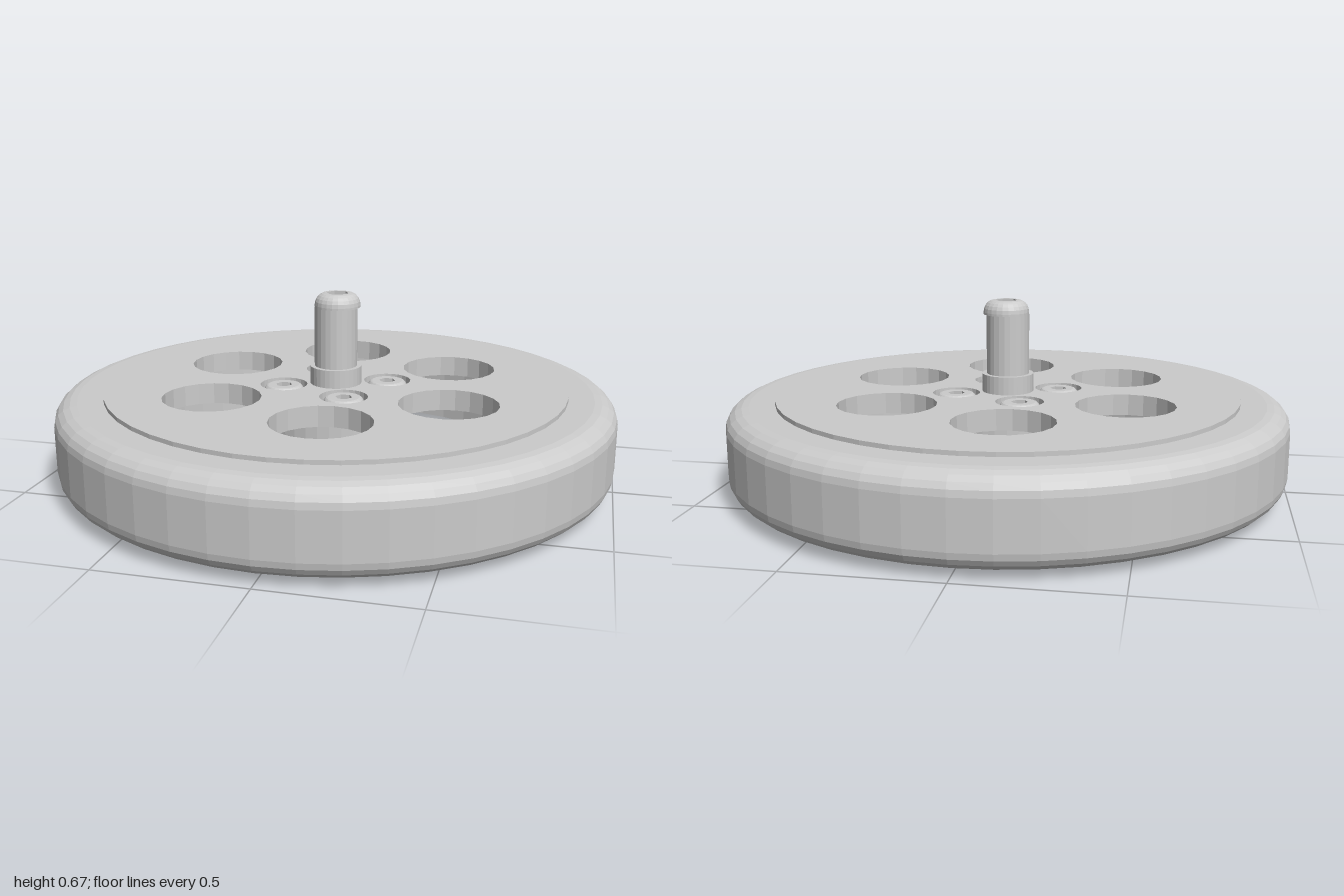
import * as THREE from 'three';

const material = new THREE.MeshStandardMaterial({ color: 0xcccccc, flatShading: true });
const TILT = THREE.MathUtils.degToRad(22); // shared rotation of all hole patterns

function add(parent, name, geometry) {
  const mesh = new THREE.Mesh(geometry, material);
  mesh.name = name;
  parent.add(mesh);
  return mesh;
}

// Regular polygon outline on the ground plane (shape y = -z)
function outline(r, n, x = 0, z = 0, Type = THREE.Path) {
  const pts = [];
  for (let i = 0; i < n; i++) {
    const a = (i / n) * Math.PI * 2;
    pts.push(new THREE.Vector2(x + r * Math.cos(a), -z + r * Math.sin(a)));
  }
  return new Type(pts);
}

// Equally spaced holes on a circle
function holeCircle(count, ring, r, n, start) {
  return Array.from({ length: count }, (_, i) => {
    const a = start + (i / count) * Math.PI * 2;
    return outline(r, n, ring * Math.cos(a), ring * Math.sin(a));
  });
}

// Flat disc with holes, from height y0 to y1
function disc(r, n, holes, y0, y1) {
  const shape = outline(r, n, 0, 0, THREE.Shape);
  shape.holes.push(...holes);
  const g = new THREE.ExtrudeGeometry(shape, { depth: y1 - y0, bevelEnabled: false });
  return g.rotateX(-Math.PI / 2).translate(0, y0, 0);
}

function lathe(points, n) {
  const g = new THREE.LatheGeometry(points.map(p => new THREE.Vector2(...p)), n);
  return g.rotateY(Math.PI / 2);
}

function cylinder(r, y0, y1, n) {
  return new THREE.CylinderGeometry(r, r, y1 - y0, n).translate(0, (y0 + y1) / 2, 0);
}

// Domed screw head with a hexagonal socket; base at y = 0
function screwHead(name, r, rTop, height, socket, depth) {
  const head = new THREE.Group();
  head.name = name;
  const profile = [[r, 0]];
  for (let i = 0; i <= 5; i++) {
    const t = (i / 5) * Math.PI / 2;
    profile.push([rTop + (r - rTop) * Math.cos(t), height * (0.15 + 0.85 * Math.sin(t))]);
  }
  add(head, 'dome', lathe(profile, 24));
  add(head, 'socketRim', disc(rTop, 24, [outline(socket, 6)], height - depth, height));
  add(head, 'socketFloor', cylinder(rTop, 0, height - depth, 24));
  return head;
}

export function createModel() {
  const wheel = new THREE.Group();
  wheel.name = 'wheel';

  // Tyre with rounded shoulders
  const tyre = [[0.83, 0.02]];
  const corner = (cy, from) => {
    for (let i = 0; i <= 5; i++) {
      const t = from + (i / 5) * Math.PI / 2;
      tyre.push([0.92 + 0.08 * Math.cos(t), cy + 0.07 * Math.sin(t)]);
    }
  };
  corner(0.09, -Math.PI / 2);
  corner(0.25, 0);
  tyre.push([0.83, 0.32], [0.83, 0.02]);
  add(wheel, 'tyre', lathe(tyre, 48));

  // Rim wall, open underneath
  add(wheel, 'rim', lathe([[0.78, 0], [0.83, 0], [0.83, 0.26], [0.78, 0.26], [0.78, 0]], 48));

  // Web: lower layer, and upper layer with screw counterbores
  const windows = () => holeCircle(6, 0.472, 0.173, 20, TILT);
  add(wheel, 'webLower', disc(0.83, 48, windows(), 0.26, 0.29));
  add(wheel, 'webUpper', disc(0.83, 48,
    [...windows(), ...holeCircle(4, 0.19, 0.085, 24, -TILT)], 0.29, 0.335));

  // Hub with a splined bore and a drilled end flange
  const spline = () => {
    const pts = [];
    for (let i = 0; i < 80; i++) {
      const a = (i / 80) * Math.PI * 2;
      const r = i % 4 < 2 ? 0.076 : 0.066;
      pts.push(new THREE.Vector2(r * Math.cos(a), r * Math.sin(a)));
    }
    return new THREE.Path(pts);
  };
  add(wheel, 'hub', disc(0.27, 40, [spline()], 0.045, 0.26));
  add(wheel, 'hubFlange', disc(0.215, 40,
    [spline(), ...holeCircle(8, 0.152, 0.014, 10, TILT)], 0.005, 0.045));

  // Four recessed mounting screws
  for (let i = 0; i < 4; i++) {
    const a = -TILT + i * Math.PI / 2;
    const screw = screwHead('mountingScrew', 0.075, 0.055, 0.044, 0.03, 0.025);
    screw.position.set(0.19 * Math.cos(a), 0.29, 0.19 * Math.sin(a));
    wheel.add(screw);
  }

  // Axle: collar, pin and domed end screw
  add(wheel, 'axleCollar', cylinder(0.093, 0.2, 0.4, 32));
  add(wheel, 'axlePin', cylinder(0.077, 0.4, 0.615, 24));
  const cap = screwHead('axleScrew', 0.082, 0.045, 0.05, 0.04, 0.03);
  cap.position.set(0.006, 0.615, 0);
  wheel.add(cap);

  return wheel;
}
